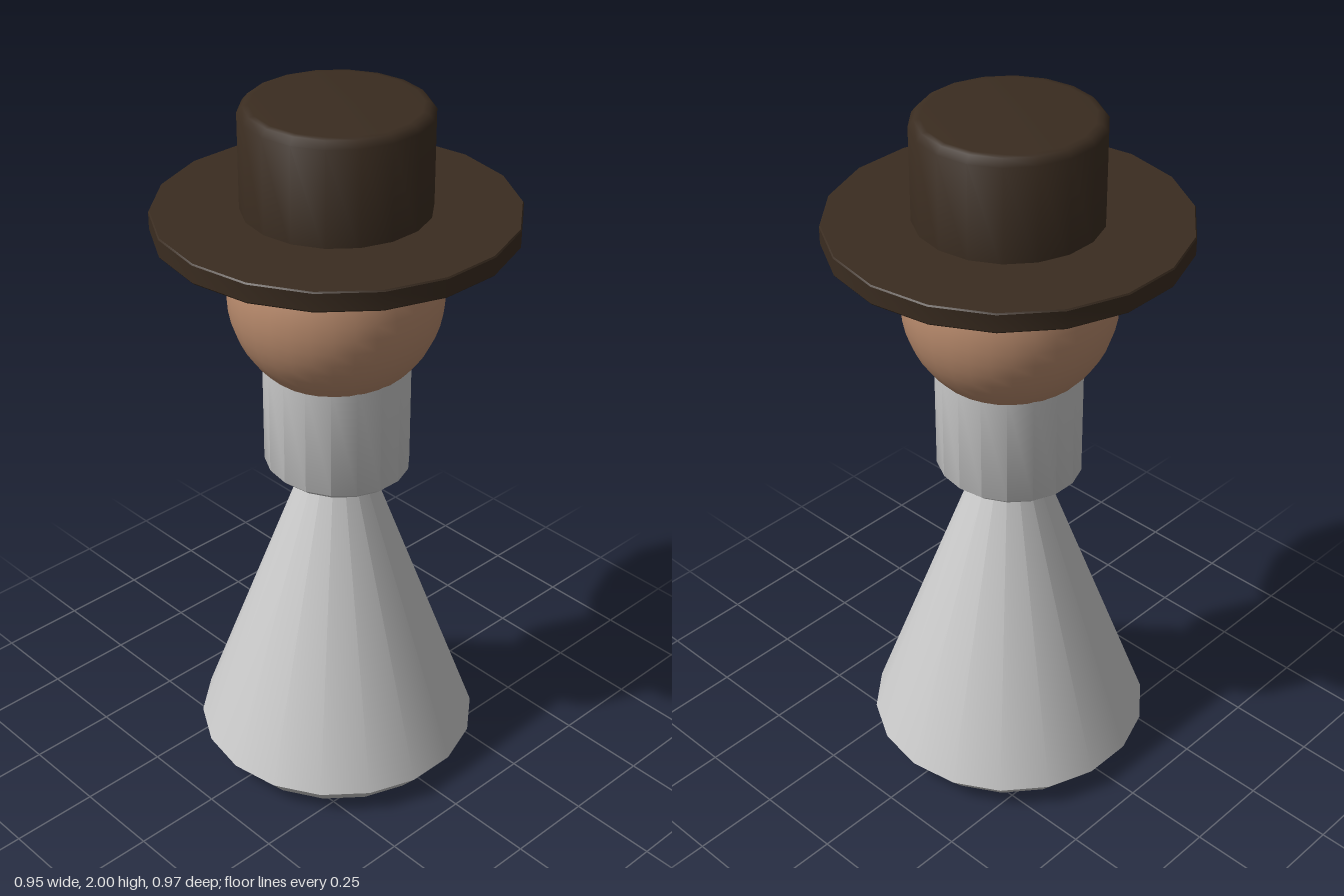
import * as THREE from 'three';
import { toCreasedNormals } from 'three/addons/utils/BufferGeometryUtils.js';

const SIDES = 18;
const grey = new THREE.MeshStandardMaterial({ color: 0xcccccc });
const felt = new THREE.MeshStandardMaterial({ color: 0x3a2c20 });
const skin = new THREE.MeshStandardMaterial({ color: 0xb88a6c });

// Turned part from a bottom-to-top profile of [radius, height] pairs
function turned(name, profile, material, crease = 0.9) {
  const points = profile.map(([r, y]) => new THREE.Vector2(r, y));
  const geometry = toCreasedNormals(new THREE.LatheGeometry(points, SIDES), crease);
  const mesh = new THREE.Mesh(geometry, material);
  mesh.name = name;
  return mesh;
}

export function createModel() {
  const model = new THREE.Group();
  model.name = 'hattedFigure';

  // Conical body with a bevelled foot; its tip sits inside the collar
  const body = turned('body', [
    [0, 0], [0.33, 0], [0.35, 0.006], [0.405, 0.07], [0.007, 1.17], [0, 1.17],
  ], grey);

  // Slightly oval collar with a small chamfer underneath
  const collar = turned('collar', [
    [0, 0.94], [0.175, 0.94], [0.19, 0.943], [0.21, 0.96], [0.21, 1.3], [0, 1.3],
  ], grey);
  collar.scale.z = 0.93;

  // Round head
  const head = new THREE.Mesh(new THREE.SphereGeometry(0.29, 32, 24), skin);
  head.name = 'head';
  head.position.set(0, 1.48, 0.003);

  // Hat: thin brim and bevelled crown
  const hat = new THREE.Group();
  hat.name = 'hat';
  hat.add(
    turned('brim', [
      [0, 1.665], [0.48, 1.665], [0.483, 1.669], [0.483, 1.716], [0.48, 1.72], [0, 1.72],
    ], felt, 0.6),
    turned('crown', [
      [0, 1.69], [0.251, 1.69], [0.251, 1.98], [0.236, 1.998], [0.22, 2], [0, 2],
    ], felt),
  );

  model.add(body, collar, head, hat);
  return model;
}
